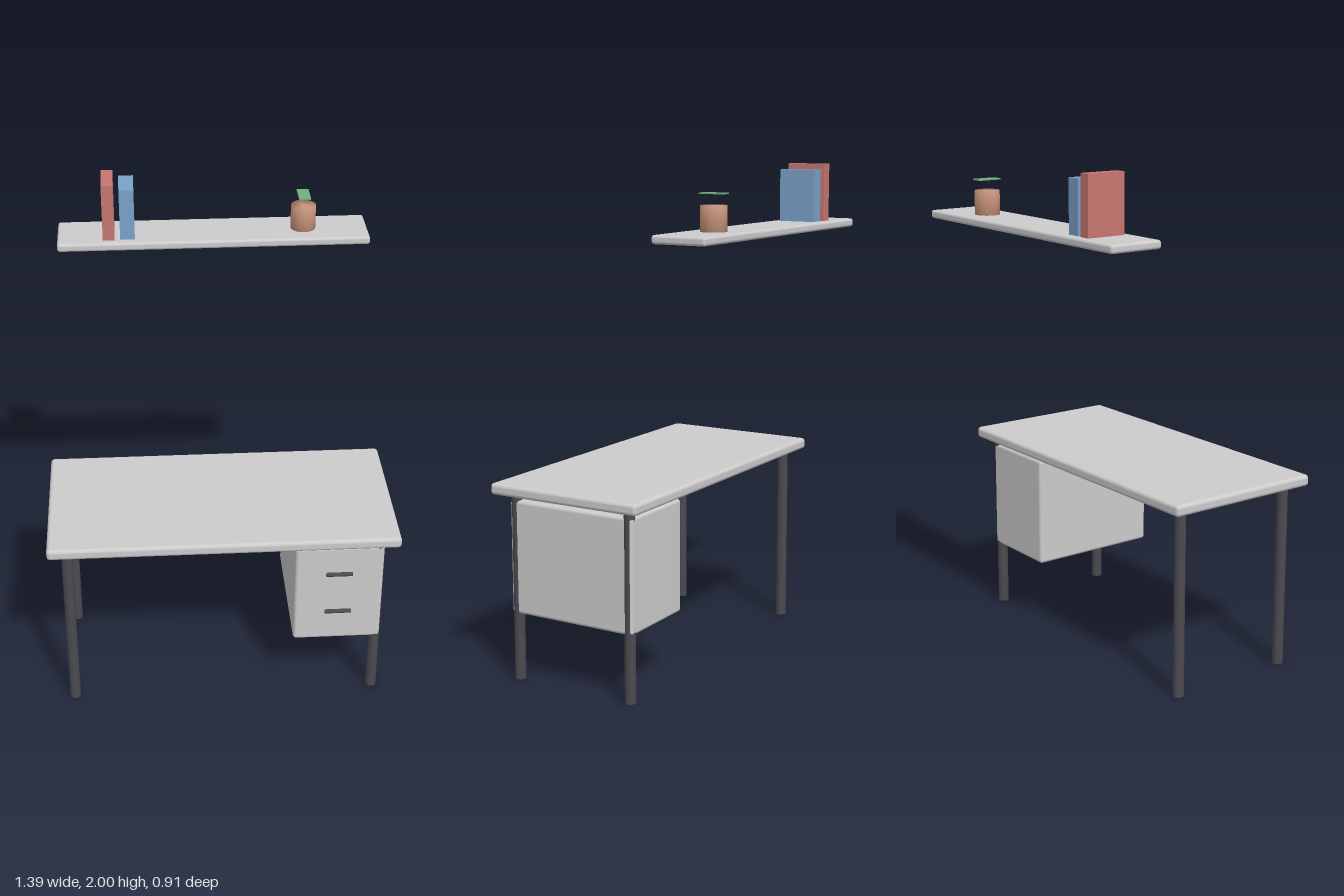
import * as THREE from 'three';
import { RoundedBoxGeometry } from 'three/addons/geometries/RoundedBoxGeometry.js';
import { mergeVertices } from 'three/addons/utils/BufferGeometryUtils.js';

function material(name, color) {
  const m = new THREE.MeshStandardMaterial({ color });
  m.name = name;
  return m;
}

export function createModel() {
  const paleGrey = material('paleGrey', 0xcccccc);
  const darkMetal = material('darkMetal', 0x4a4a50);
  const red = material('bookRed', 0xc87670);
  const blue = material('bookBlue', 0x7ba2ca);
  const clay = material('clay', 0xc8967c);
  const green = material('leafGreen', 0x74ad7f);

  const model = new THREE.Group();
  model.name = 'deskAndShelf';

  const add = (parent, name, geometry, mat, x, y, z) => {
    const mesh = new THREE.Mesh(geometry, mat);
    mesh.name = name;
    mesh.position.set(x, y, z);
    parent.add(mesh);
    return mesh;
  };
  const group = (name) => {
    const g = new THREE.Group();
    g.name = name;
    model.add(g);
    return g;
  };
  // Cylinder whose shading flows softly over the rims
  const softCylinder = (radius, height) => {
    let g = new THREE.CylinderGeometry(radius, radius, height, 24);
    g.deleteAttribute('normal');
    g.deleteAttribute('uv');
    g = mergeVertices(g);
    g.computeVertexNormals();
    return g;
  };

  const deskZ = 0.1215;
  const shelfZ = -0.344;
  const shelfTop = 1.772;

  // Desk: top and four legs
  const desk = group('desk');
  add(desk, 'deskTop', new RoundedBoxGeometry(1.389, 0.046, 0.667, 4, 0.015), paleGrey, 0, 0.776, deskZ);
  const legGeometry = softCylinder(0.022, 0.755);
  for (const sx of [-1, 1]) {
    for (const sz of [-1, 1]) {
      const name = (sz > 0 ? 'front' : 'back') + (sx > 0 ? 'Left' : 'Right') + 'Leg';
      add(desk, name, legGeometry, darkMetal, sx * 0.62, 0.3775, deskZ + sz * 0.259);
    }
  }

  // Drawer cabinet with two bar handles
  const cabinet = group('drawerCabinet');
  add(cabinet, 'cabinetBody', new RoundedBoxGeometry(0.356, 0.458, 0.562, 4, 0.014), paleGrey, 0.461, 0.5, deskZ);
  const handleGeometry = softCylinder(0.0085, 0.106).rotateZ(Math.PI / 2);
  [['upperHandle', 0.601], ['lowerHandle', 0.415]].forEach(([name, y]) =>
    add(cabinet, name, handleGeometry, darkMetal, 0.461, y, 0.408));

  // Wall shelf
  const shelf = group('wallShelf');
  add(shelf, 'shelfBoard', new RoundedBoxGeometry(1.233, 0.033, 0.223, 4, 0.011), paleGrey, 0, shelfTop - 0.0165, shelfZ);

  // Books: name, colour, width, height, depth, x
  const books = [
    ['redBook', red, 0.046, 0.228, 0.162, -0.414],
    ['blueBook', blue, 0.058, 0.206, 0.152, -0.34],
  ];
  for (const [name, mat, w, h, d, x] of books) {
    add(shelf, name, new THREE.BoxGeometry(w, h, d), mat, x, shelfTop + h / 2, shelfZ);
  }

  // Plant pot with a flat leaf above it
  const plant = group('pottedPlant');
  add(plant, 'pot', softCylinder(0.05, 0.096), clay, 0.36, shelfTop + 0.048, shelfZ);
  add(plant, 'leaf', new THREE.BoxGeometry(0.047, 0.005, 0.1), green, 0.36, 1.911, shelfZ);

  return model;
}
